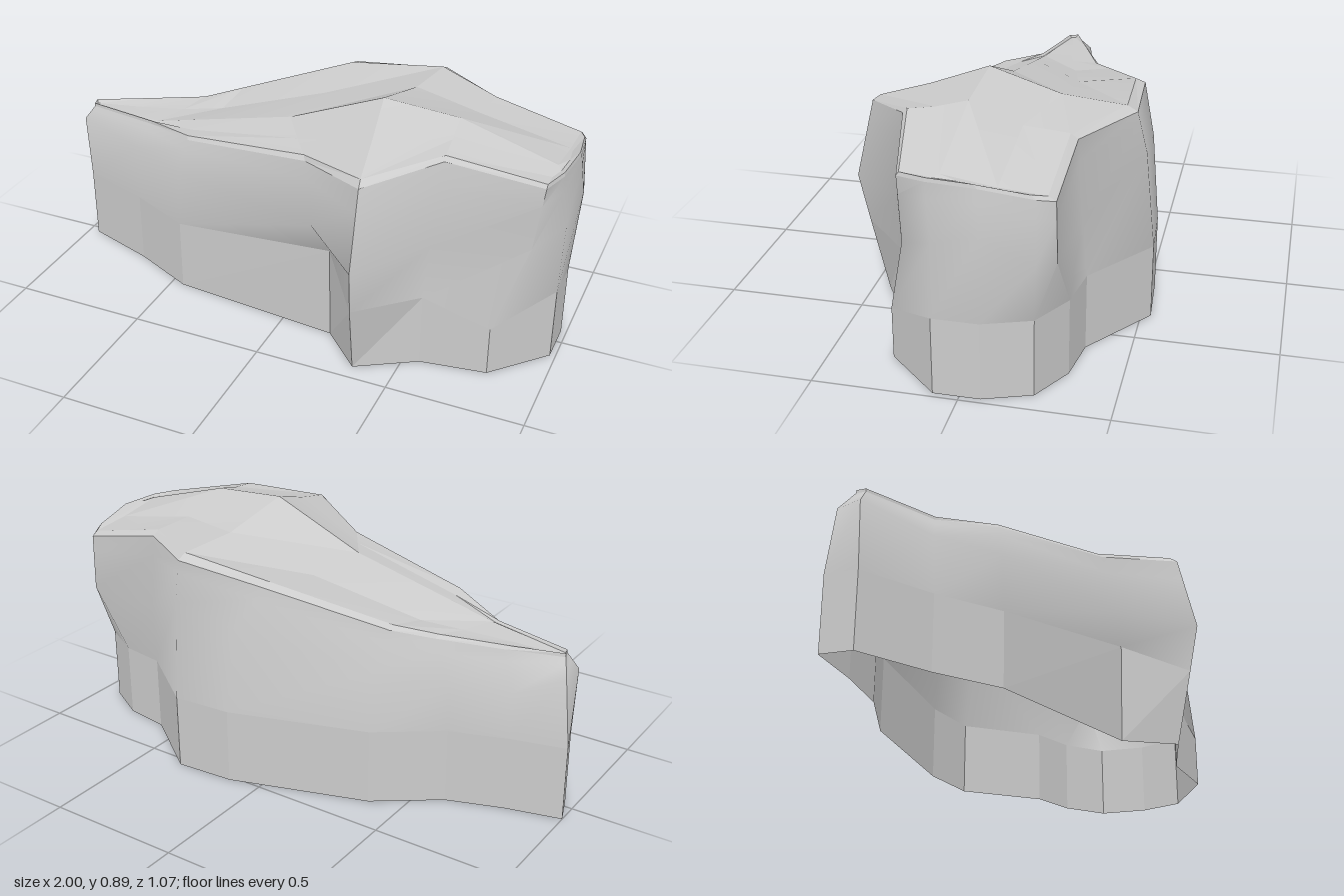
import * as THREE from 'three';
import { toCreasedNormals } from 'three/addons/utils/BufferGeometryUtils.js';

// Outline columns run from the narrow tip, along the front, round the broad end and back.
const base = [ // x, z at the ground
  [-.96, .03], [-.69, .12], [-.45, .23], [.2, .29], [.35, .44], [.56, .315],
  [.8, .28], [.98, .09], [.98, -.07], [.92, -.235], [.77, -.32], [.6, -.345],
  [.34, -.535], [.12, -.52], [-.38, -.36], [-.6, -.2], [-.8, -.13], [-1, -.08],
];
const bulge = [ // x, y, z half way up the wall
  [-.97, .53, .03], [-.69, .5, .11], [-.45, .5, .22], [.14, .48, .33], [.37, .46, .535], [.58, .5, .32],
  [.9, .5, .2], [.985, .55, .08], [1, .6, -.08], [.97, .5, -.25], [.93, .5, -.31], [.62, .5, -.33],
  [.35, .64, -.5], [.1, .6, -.49], [-.38, .5, -.33], [-.6, .45, -.2], [-.8, .45, -.12], [-.97, .53, -.07],
];
const rim = [ // x, y, z where the wall meets the top
  [-.93, .585, .015], [-.64, .595, .075], [-.42, .63, .19], [.1, .71, .29], [.37, .755, .465], [.6, .815, .28],
  [.93, .745, .2], [.965, .75, .1], [.98, .75, -.07], [.955, .72, -.25], [.93, .71, -.305], [.61, .78, -.31],
  [.36, .79, -.465], [0, .76, -.44], [-.4, .64, -.27], [-.53, .61, -.185], [-.75, .595, -.1], [-.94, .585, -.02],
];
// Ridge position facing each column, and the ridge height along x
const ridgeX = [-.92, -.62, -.45, -.06, .3, .58, .93, .93, .93, .93, .93, .58, .3, -.06, -.45, -.62, -.75, -.92];
const ridgeLine = [[-.93, .587], [-.62, .605], [-.06, .74], [.3, .89], [.58, .87], [.94, .762]];

function ridgePoint(x) {
  let k = 0;
  while (k < ridgeLine.length - 2 && x > ridgeLine[k + 1][0]) k++;
  const [x0, y0] = ridgeLine[k], [x1, y1] = ridgeLine[k + 1];
  const z = .06 * THREE.MathUtils.clamp((x + .93) / .31, 0, 1);
  return [x, y0 + (y1 - y0) * (x - x0) / (x1 - x0), z];
}

const mix = (a, b, t, lift = 0) => a.map((v, i) => v + (b[i] - v) * t + (i === 1 ? lift : 0));

// Closed loops of points stitched from the bottom loop to the top one
function loft(loops) {
  const n = loops[0].length, index = [];
  for (let r = 0; r < loops.length - 1; r++)
    for (let i = 0; i < n; i++) {
      const j = (i + 1) % n, a = r * n + i, b = r * n + j;
      index.push(a, b, b + n, a, b + n, a + n);
    }
  const g = new THREE.BufferGeometry();
  g.setAttribute('position', new THREE.Float32BufferAttribute(loops.flat(2), 3));
  g.setIndex(index);
  g.computeVertexNormals();
  return g;
}

export function createModel() {
  const group = new THREE.Group();
  group.name = 'rock';
  const add = (name, geometry, flatShading = false) => {
    const mesh = new THREE.Mesh(geometry, new THREE.MeshStandardMaterial({
      color: 0xcccccc, side: THREE.DoubleSide, flatShading,
    }));
    mesh.name = name;
    group.add(mesh);
  };

  // Foot band, with the step in its front
  const ground = base.map(([x, z]) => [x, 0, z]);
  const shoulder = base.map(([x, z]) => [x, .28, z]);
  shoulder[3] = [.2, .37, .3];
  shoulder[4] = [.36, .28, .5];
  shoulder[6] = [.8, .19, .28];
  add('footBand', loft([ground, shoulder]), true);

  // Worn wall, drawn in a little just under the rim
  const neck = rim.map((p, i) => mix(bulge[i], p, .72));
  add('wall', toCreasedNormals(loft([shoulder, bulge, neck, rim]), 0.9));

  // Top: bevelled edge, slightly hollow back slope and ridge
  const ridge = ridgeX.map(ridgePoint);
  const edge = rim.map((p, i) => mix(p, ridge[i], .07, .012));
  const slope = rim.map((p, i) => mix(p, ridge[i], .5, i > 10 && i < 15 ? -.02 : 0));
  add('top', toCreasedNormals(loft([rim, edge, slope, ridge]), 0.15));

  return group;
}
